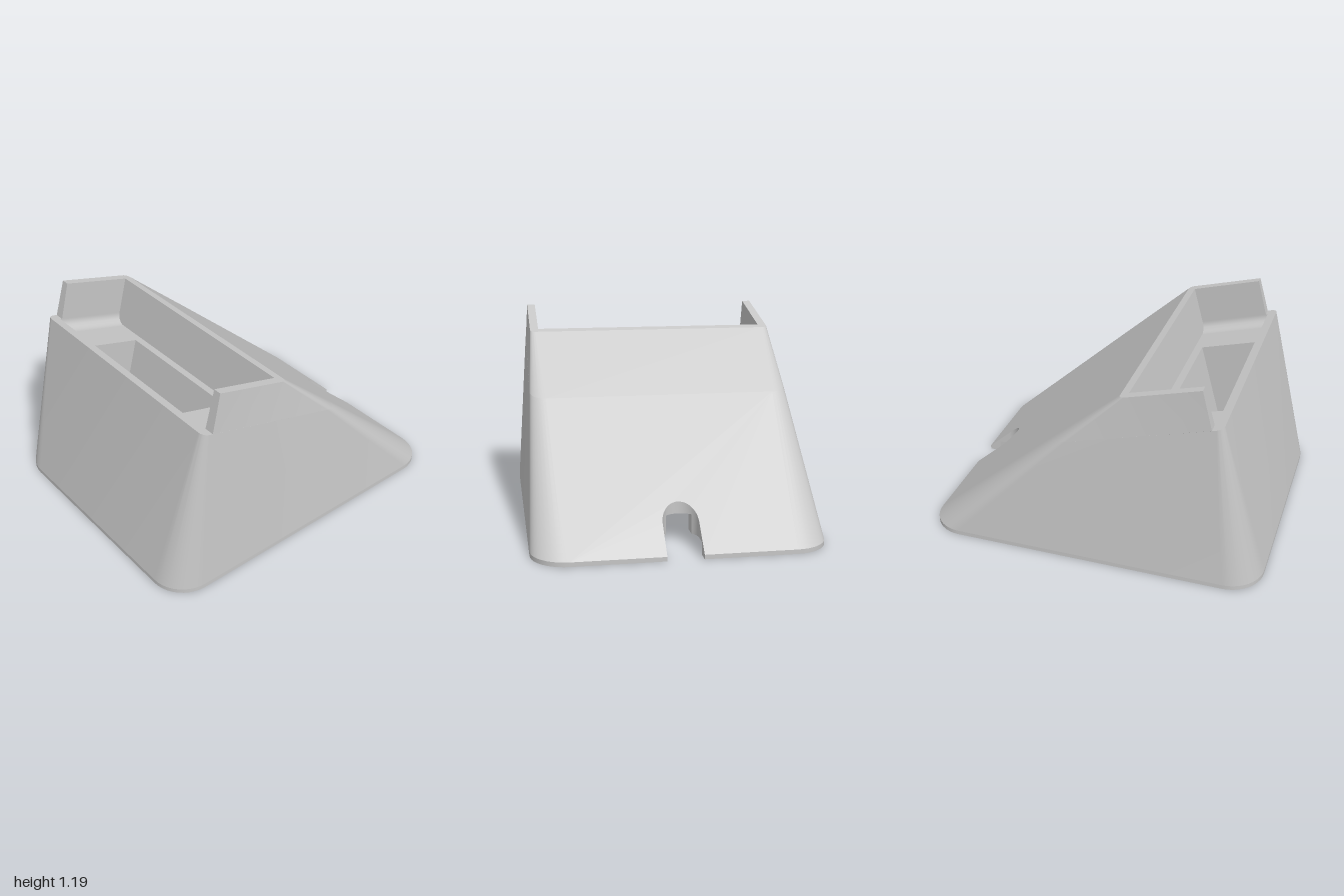
import * as THREE from 'three';
import { toCreasedNormals } from 'three/addons/utils/BufferGeometryUtils.js';

// Main dimensions
const C = Math.cos(Math.PI / 12), S = Math.sin(Math.PI / 12); // 15 degree lean of the tray
const PLINTH = 0.025, RECESS = 0.07, RIM = 0.07;
const TOP = 0.99, LIP = 0.762, FLOOR = 0.70;                  // heights in the leaning frame
const BACK = 0.498, FRONT = 0.929, CUT = 0.918;               // tray depth in the leaning frame
const TRAY_X = 0.69, R = 0.06;
const HOLE_X = 0.425, HOLE_B = 0.55, HOLE_F = 0.891;
const CHAN_X = 0.15, CHAN_Y = 0.24, CHAN_END = -0.70;
const NOTCH = 0.1, NOTCH_Z = -0.85, PASS_Y = 0.18;

// Leaning frame (x, depth u, height v) to model space
const tilt = (x, u, v) => new THREE.Vector3(x, u * S + v * C, u * C - v * S);
// Height v at which depth u reaches level y
const vAt = (u, y) => (y - u * S) / C;
const V = (x, y, z) => new THREE.Vector3(x, y, z);

// Points on an arc, angles in degrees
function arc(cx, cy, r, a0, a1, n = 10) {
  return Array.from({ length: n + 1 }, (_, i) => {
    const a = THREE.MathUtils.degToRad(a0 + (a1 - a0) * i / n);
    return [cx + r * Math.cos(a), cy + r * Math.sin(a)];
  });
}

// Half of a rounded rectangle, from back corner round to front corner
function half(xf, xb, back, front, rf, rb) {
  const rear = arc(xb - rb, back + rb, rb, -90, 0);
  return rear.concat(rf ? arc(xf - rf, front - rf, rf, 0, 90) : [[xf, front]]);
}
const mirror = (pts) => pts.map(([x, z]) => [-x, z]).reverse();
const both = (pts) => pts.concat(mirror(pts));

// Surface through a list of matching rows of points
function loft(rows) {
  const n = rows[0].length, index = [];
  for (let j = 0; j < rows.length - 1; j++)
    for (let i = 0; i < n - 1; i++) {
      const a = j * n + i, b = a + n;
      index.push(a, b, a + 1, a + 1, b, b + 1);
    }
  const g = new THREE.BufferGeometry().setFromPoints(rows.flat());
  g.setIndex(index);
  return toCreasedNormals(g, 0.45);
}

// Flat face from a 2D outline, placed by a mapping function
function face(outline, place, hole) {
  const shape = new THREE.Shape(outline.map((p) => new THREE.Vector2(...p)));
  if (hole) shape.holes.push(new THREE.Path(hole.map((p) => new THREE.Vector2(...p))));
  const g = new THREE.ShapeGeometry(shape), pos = g.attributes.position;
  for (let i = 0; i < pos.count; i++) {
    const p = place(pos.getX(i), pos.getY(i));
    pos.setXYZ(i, p.x, p.y, p.z);
  }
  g.computeVertexNormals();
  return g;
}
const rect = (x0, x1, y0, y1) => [[x0, y0], [x1, y0], [x1, y1], [x0, y1]];

export function createModel() {
  const model = new THREE.Group();
  model.name = 'dock';
  const grey = new THREE.MeshStandardMaterial({ color: 0xc6c6c6, side: THREE.DoubleSide });
  grey.name = 'light grey plastic';
  const add = (name, g) => {
    const m = new THREE.Mesh(g, grey);
    m.name = name;
    model.add(m);
  };

  // Outlines at the base, the lip level and the top
  const base = half(0.812, 0.812, -1, 1, 0.2, 0.2);
  const lip = half(0.75, 0.765, -0.006, 0.981, 0.04, 0.09);
  const lipCut = half(0.75, 0.765, -0.006, CUT, 0, 0.09);
  const top = half(0.738, 0.74, 0.452, CUT, 0, 0.03);
  const flat = (y) => ([x, z]) => V(x, y, z);
  const lean = (v) => ([x, u]) => tilt(x, u, v);

  // Outer shell: front, sides and rounded corners
  add('outerShell', loft([both(base).map(flat(PLINTH)), both(lip).map(lean(LIP))]));
  for (const s of [1, -1]) {
    const side = (pts) => pts.map(([x, z]) => [s * x, z]);
    add('wingOuter', loft([side(lipCut).map(lean(LIP)), side(top).map(lean(TOP))]));
    add('wingFront', loft([
      [tilt(s * TRAY_X, CUT, LIP), tilt(s * 0.75, CUT, LIP)],
      [tilt(s * TRAY_X, CUT, TOP), tilt(s * 0.738, CUT, TOP)]]));
    add('wingInner', face(rect(BACK, CUT, LIP, TOP), (u, v) => tilt(s * TRAY_X, u, v)));
  }

  // Sloping back with the cable notch
  const ridge = tilt(0, -0.006, LIP);
  const slopeY = (z) => PLINTH + (z + 1) * (ridge.y - PLINTH) / (ridge.z + 1);
  const onSlope = (x, z) => V(x, slopeY(z), z);
  const notchArc = arc(0, NOTCH_Z, NOTCH, 0, 180, 24);
  add('backSlope', face([
    [0.612, -1], [0.675, ridge.z], [-0.675, ridge.z], [-0.612, -1], [-NOTCH, -1],
    ...notchArc.slice().reverse(), [NOTCH, -1]], onSlope));
  add('backSlopeTop', loft([
    [tilt(-0.675, -0.006, LIP), tilt(0.675, -0.006, LIP)],
    [tilt(-0.71, 0.452, TOP), tilt(0.71, 0.452, TOP)]]));

  // Top edge and front lip around the tray
  add('topEdge', face([
    ...top, [TRAY_X, CUT], [TRAY_X, BACK], [-TRAY_X, BACK], [-TRAY_X, CUT], ...mirror(top)],
  (x, u) => tilt(x, u, TOP)));
  const lipFront = lip.slice(11);
  add('frontLip', face([
    [TRAY_X, CUT], [0.75, CUT], ...both(lipFront), [-0.75, CUT], [-TRAY_X, CUT],
    [-TRAY_X, FRONT], [TRAY_X, FRONT]], (x, u) => tilt(x, u, LIP)));

  // Tray: rounded lower corners, floor with opening, back and front walls
  const fillet = arc(TRAY_X - R, FLOOR + R, R, 0, -90);
  fillet.unshift([TRAY_X, LIP]);
  for (const s of [1, -1])
    add('trayCorner', loft([BACK, FRONT].map((u) => fillet.map(([x, v]) => tilt(s * x, u, v)))));
  add('trayFloor', face(rect(R - TRAY_X, TRAY_X - R, BACK, FRONT),
    (x, u) => tilt(x, u, FLOOR), rect(-HOLE_X, HOLE_X, HOLE_B, HOLE_F)));
  add('trayBack', face([[TRAY_X, TOP], ...both(fillet), [-TRAY_X, TOP]], (x, v) => tilt(x, BACK, v)));
  add('trayFront', face(both(fillet), (x, v) => tilt(x, FRONT, v)));

  // Connector shaft running down to the underside
  const vb = vAt(HOLE_B, RECESS), vc = vAt(HOLE_B, CHAN_Y), vf = vAt(HOLE_F, RECESS);
  const zb = tilt(0, HOLE_B, vb).z, zc = tilt(0, HOLE_B, vc).z, zf = tilt(0, HOLE_F, vf).z;
  add('shaftBack', face([
    [-HOLE_X, FLOOR], [HOLE_X, FLOOR], [HOLE_X, vb], [CHAN_X, vb], [CHAN_X, vc],
    [-CHAN_X, vc], [-CHAN_X, vb], [-HOLE_X, vb]], (x, v) => tilt(x, HOLE_B, v)));
  add('shaftFront', face(rect(-HOLE_X, HOLE_X, vf, FLOOR), (x, v) => tilt(x, HOLE_F, v)));
  for (const s of [1, -1])
    add('shaftSide', face([[HOLE_B, FLOOR], [HOLE_F, FLOOR], [HOLE_F, vf], [HOLE_B, vb]],
      (u, v) => tilt(s * HOLE_X, u, v)));

  // Cable channel and its narrow outlet into the notch
  const corner = arc(0, NOTCH_Z, NOTCH, 0, 45, 6);
  const [px, pz] = corner[6];
  for (const s of [1, -1]) {
    add('channelSide', face([[CHAN_END, RECESS], [zb, RECESS], [zc, CHAN_Y], [CHAN_END, CHAN_Y]],
      (z, y) => V(s * CHAN_X, y, z)));
    add('outletSide', face(rect(pz, CHAN_END, RECESS, PASS_Y), (z, y) => V(s * px, y, z)));
    add('notchCorner', loft([
      corner.map(([x, z]) => V(s * x, RECESS, z)), corner.map(([x, z]) => onSlope(s * x, z))]));
    add('notchSide', face([
      [-1, 0], [-1, PLINTH], [NOTCH_Z, slopeY(NOTCH_Z)], [NOTCH_Z, RECESS],
      [RIM - 1, RECESS], [RIM - 1, 0]], (z, y) => V(s * NOTCH, y, z)));
  }
  const mid = arc(0, NOTCH_Z, NOTCH, 45, 135, 12);
  add('notchEnd', loft([mid.map(flat(PASS_Y)), mid.map(([x, z]) => onSlope(x, z))]));
  add('outletRoof', face([...mid, [-px, CHAN_END], [px, CHAN_END]], (x, z) => V(x, PASS_Y, z)));
  add('channelRoof', face(rect(-CHAN_X, CHAN_X, CHAN_END, zc), (x, z) => V(x, CHAN_Y, z)));
  add('channelEnd', face([
    [-CHAN_X, RECESS], [-CHAN_X, CHAN_Y], [CHAN_X, CHAN_Y], [CHAN_X, RECESS],
    [px, RECESS], [px, PASS_Y], [-px, PASS_Y], [-px, RECESS]], (x, y) => V(x, y, CHAN_END)));

  // Base: plinth edge, rim, recess wall and underside panel
  const outer = both([[NOTCH, -1], ...base]);
  const inset = both([[NOTCH, RIM - 1],
    ...half(0.812 - RIM, 0.812 - RIM, RIM - 1, 1 - RIM, 0.13, 0.13)]);
  add('plinthEdge', loft([outer.map(flat(0)), outer.map(flat(PLINTH))]));
  add('baseRim', face([...outer, ...inset.slice().reverse()], (x, z) => V(x, 0, z)));
  add('recessWall', loft([inset.map(flat(RECESS)), inset.map(flat(0))]));
  const opening = [...corner, [px, CHAN_END], [CHAN_X, CHAN_END], [CHAN_X, zb],
    [HOLE_X, zb], [HOLE_X, zf]];
  add('undersidePanel', face([...inset, ...mirror(opening).reverse(), ...opening.slice().reverse()],
    (x, z) => V(x, RECESS, z)));

  return model;
}
